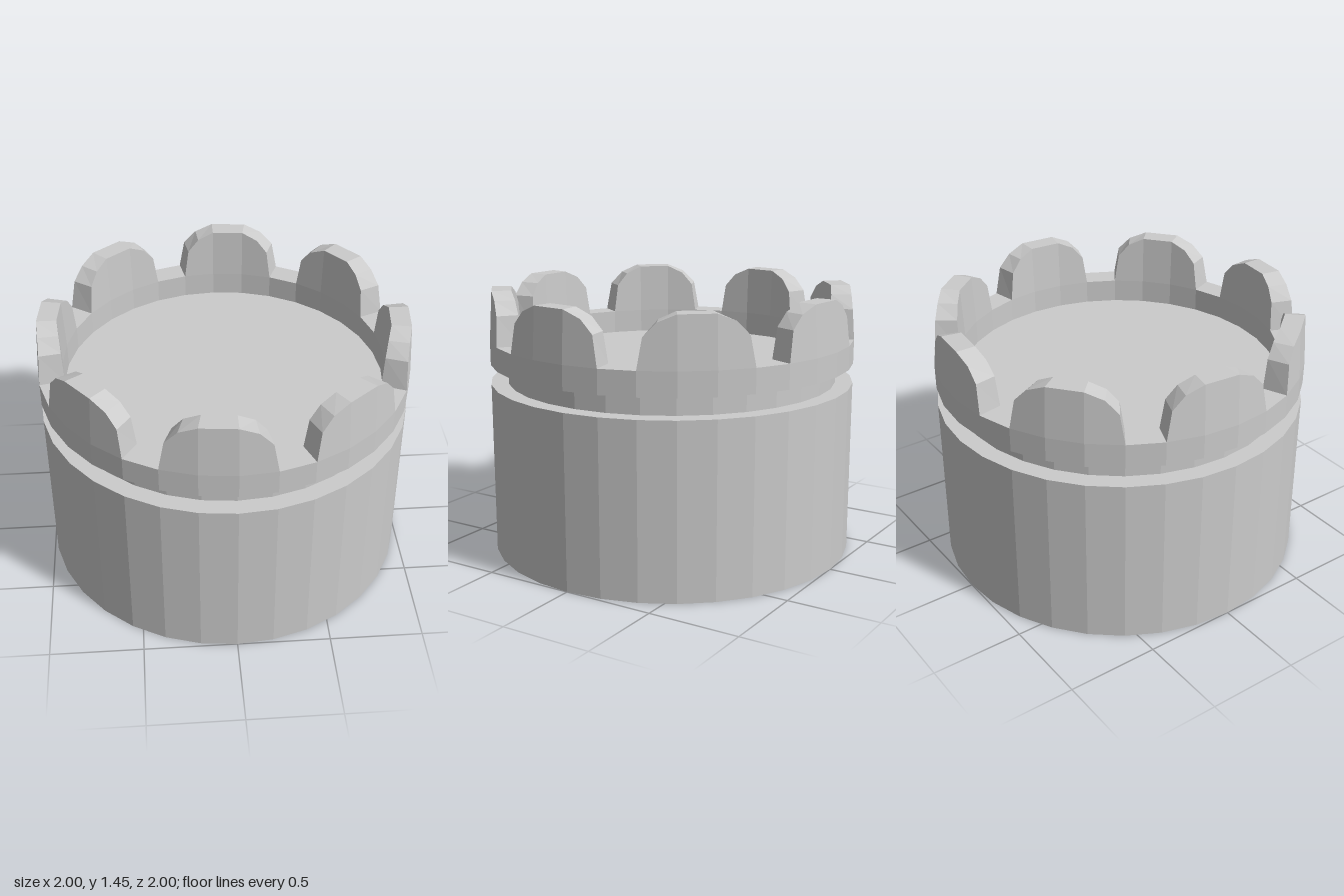
import * as THREE from 'three';

const SIDES = 32, STEP = (Math.PI * 2) / SIDES;
const INNER = 0.865, RIM = 1.18, TOP = 1.45;
const material = new THREE.MeshStandardMaterial({ color: 0xcccccc, flatShading: true });

// Hollow sleeve with groove, collar and recessed floor
function createBody() {
  const profile = [
    [0, 1.0], [INNER, 1.0], [INNER, 0], [1, 0], [1, 0.94], [0.905, 0.94],
    [0.905, 1.05], [1, 1.05], [1, RIM], [INNER, RIM], [INNER, 1.05], [0, 1.05],
  ].map(([r, y]) => new THREE.Vector2(r, y));
  const body = new THREE.Mesh(new THREE.LatheGeometry(profile, SIDES), material);
  body.name = 'groovedBody';
  return body;
}

// Point on the faceted wall: angles between corners fall on the flat side
function wallPoint(radius, angle, y) {
  const fromMiddle = angle - (Math.floor(angle / STEP + 1e-6) + 0.5) * STEP;
  const r = (radius * Math.cos(STEP / 2)) / Math.cos(fromMiddle);
  return [r * Math.sin(angle), y, r * Math.cos(angle)];
}

// One rounded tooth, three sides wide, swept from four-point cross-sections
function createToothGeometry() {
  const half = [[1.5, RIM], [1.36, 1.34], [1.01, 1.41], [0.5, TOP]];
  const outline = [...half.map(([a, y]) => [-a, y]), ...half.slice().reverse()];
  const positions = [], index = [];
  outline.forEach(([a, y], i) => {
    const angle = (a - 0.5) * STEP;
    const t = (y - RIM) / (TOP - RIM);
    positions.push(
      ...wallPoint(1, angle, RIM),
      ...wallPoint(1 - 0.017 * t, angle, y),
      ...wallPoint(INNER + 0.012 * t, angle, y),
      ...wallPoint(INNER, angle, RIM),
    );
    if (i === 0) return;
    const p = (i - 1) * 4, q = i * 4;
    for (let k = 0; k < 3; k++) {
      index.push(p + k, q + k, q + k + 1, p + k, q + k + 1, p + k + 1);
    }
  });
  const geometry = new THREE.BufferGeometry();
  geometry.setAttribute('position', new THREE.Float32BufferAttribute(positions, 3));
  geometry.setIndex(index);
  geometry.computeVertexNormals();
  return geometry;
}

export function createModel() {
  const model = new THREE.Group();
  model.name = 'castellatedCap';
  model.add(createBody());

  // Crown of eight teeth
  const crown = new THREE.Group();
  crown.name = 'crown';
  const toothGeometry = createToothGeometry();
  for (let i = 0; i < 8; i++) {
    const tooth = new THREE.Mesh(toothGeometry, material);
    tooth.name = 'tooth' + (i + 1);
    tooth.rotation.y = (i * Math.PI) / 4;
    crown.add(tooth);
  }
  model.add(crown);
  return model;
}
